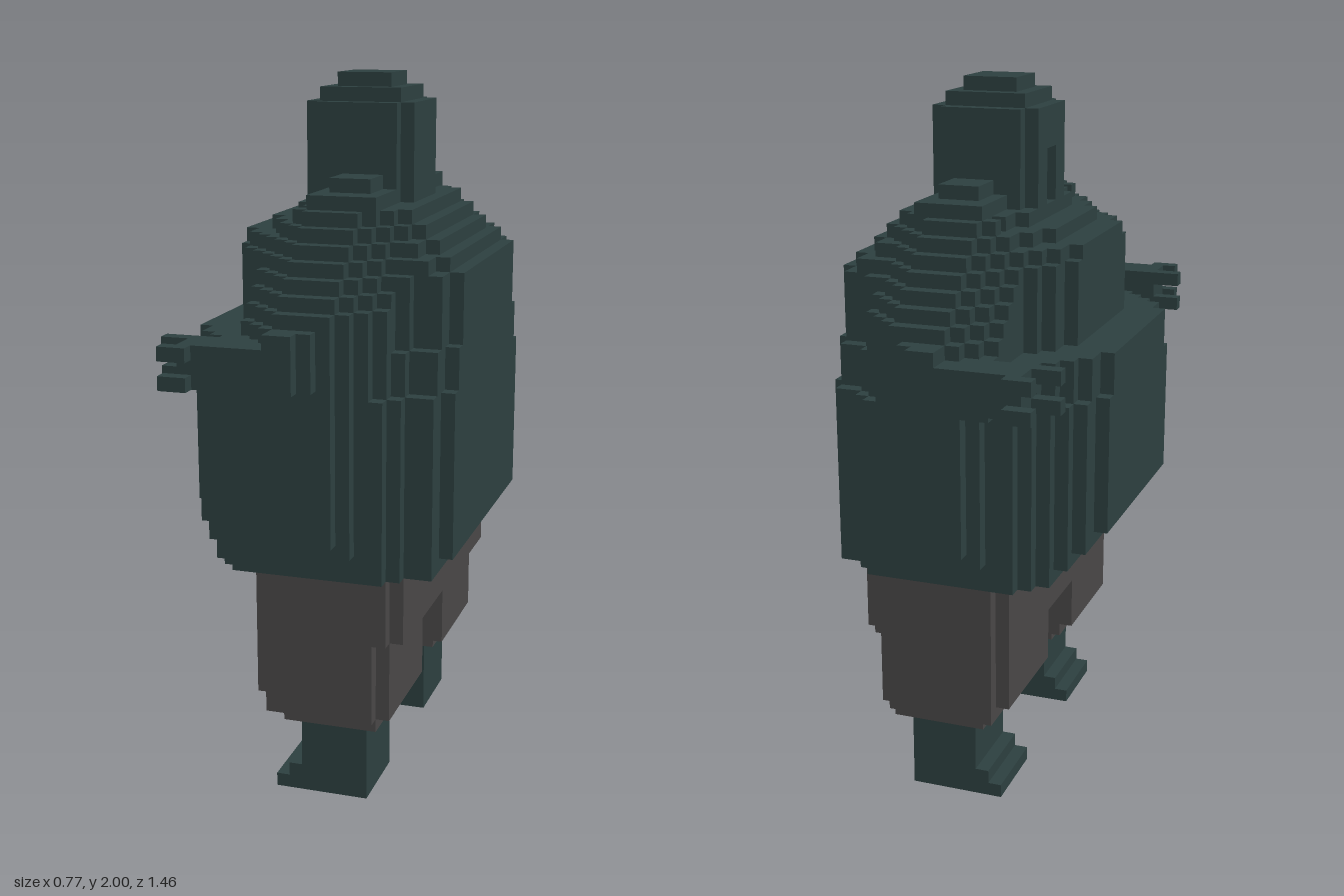
import * as THREE from 'three';

const V = 1 / 26; // size of one block

export function createModel() {
  const model = new THREE.Group();
  model.name = 'blockFigure';

  const material = (name, color) => {
    const m = new THREE.MeshStandardMaterial({ color });
    m.name = name;
    return m;
  };
  const teal = material('darkTeal', 0x2d4040);
  const grey = material('warmGrey', 0x4a4848);
  const brown = material('skinBrown', 0x6e564e);

  const part = (name) => {
    const g = new THREE.Group();
    g.name = name;
    model.add(g);
    return g;
  };

  // Box between two corners, counted in blocks
  const box = (group, name, mat, x0, x1, y0, y1, z0, z1) => {
    const geo = new THREE.BoxGeometry((x1 - x0) * V, (y1 - y0) * V, (z1 - z0) * V);
    geo.translate((x0 + x1) / 2 * V, (y0 + y1) / 2 * V, (z0 + z1) / 2 * V);
    const mesh = new THREE.Mesh(geo, mat);
    mesh.name = name;
    group.add(mesh);
  };

  // Same box on both sides
  const pair = (group, name, mat, x0, x1, y0, y1, z0, z1) => {
    box(group, name + 'Left', mat, x0, x1, y0, y1, z0, z1);
    box(group, name + 'Right', mat, x0, x1, y0, y1, -z1, -z0);
  };

  // Stepped oval slab; half-widths grow with distance from the oval's ends,
  // and the slab is the stretch of that oval from x0 to x1
  const faceSteps = [8, 10, 11, 12, 13, 14, 14, 15];
  const backSteps = [10, 12, 12, 13, 14, 14, 15];
  const slab = (group, name, x0, x1, y0, y1, zMax, inset, ovalFace = x0, ovalBack = x1) => {
    const half = (x) => Math.min(zMax,
      (faceSteps[x - ovalFace] ?? 16) - inset, (backSteps[ovalBack - 1 - x] ?? 16) - inset);
    const top = [];
    for (let x = x0; x < x1; x++) {
      if (x === x0 || half(x) !== half(x - 1)) {
        if (x > x0) top.push([x, half(x - 1)]);
        top.push([x, half(x)]);
      }
    }
    top.push([x1, half(x1 - 1)]);
    const outline = [...top, ...top.map(([x, z]) => [x, -z]).reverse()];
    const shape = new THREE.Shape(outline.map(([x, z]) => new THREE.Vector2(x * V, z * V)));
    const geo = new THREE.ExtrudeGeometry(shape, { depth: (y1 - y0) * V, bevelEnabled: false });
    geo.rotateX(-Math.PI / 2);
    geo.translate(0, y0 * V, 0);
    const mesh = new THREE.Mesh(geo, teal);
    mesh.name = name;
    group.add(mesh);
  };

  // Feet with stepped toes
  const feet = part('feet');
  pair(feet, 'ankle', teal, -1, 4, 0, 6.1, 5, 11);
  pair(feet, 'toeUpper', teal, -2, -1, 0, 2, 5, 11);
  pair(feet, 'toeTip', teal, -3, -2, 0, 1, 5, 11);

  // Trousers
  const trousers = part('trousers');
  pair(trousers, 'cuff', grey, -2, 5, 6, 7, 4, 12);
  pair(trousers, 'shin', grey, -3, 6, 7, 8, 3, 12);
  pair(trousers, 'leg', grey, -4, 6, 8, 12, 3, 12);
  pair(trousers, 'legSide', grey, -3, 5, 7, 13, 12, 13);
  box(trousers, 'crotch', grey, -4, 6, 12, 13, -12, 12);
  box(trousers, 'hips', grey, -4, 7, 13, 18.5, -12, 12);
  pair(trousers, 'hipSide', grey, -3, 6, 13, 18.5, 12, 13);

  // Belly and back: x0, x1, y0, y1, zMax, inset, then oval ends where clipped
  const torso = part('torso');
  [
    [-7, 9, 18, 19, 14, 0, -10, 10],
    [-8, 10, 19, 20, 14, 0, -10],
    [-9, 10, 20, 21, 15, 0, -10],
    [-10, 10, 21, 31, 16, 0],
    [-10, 10, 31, 34, 14, 1],
    [-7, 10, 34, 38, 13, 2],
    [-7, 10, 38, 39, 11, 2],
    [-7, 9, 39, 40, 10, 2],
    [-7, 8, 40, 41, 9, 3],
    [-5, 7, 41, 42, 8, 3],
    [-3, 6, 42, 43, 8, 3],
  ].forEach((s, i) => slab(torso, 'torsoLayer' + i, ...s));
  pair(torso, 'shoulder', teal, -1, 4, 43, 44, 3, 9);
  pair(torso, 'shoulderPad', teal, 0, 3, 44, 45, 3, 7);

  // Upper arms slope outwards, with a ridge that widens downwards
  const arms = part('arms');
  for (let z = 8; z < 18; z++) {
    const top = Math.max(36, 52 - z);
    const bottom = z < 16 ? 31 : 32;
    for (let s = 0; s < 4; s++) {
      const x1 = Math.min(3 + s, 18 - z);
      pair(arms, `upperArmStep${z}Tier${s}`, teal, -1 - s, x1, bottom, top - s, z, z + 1);
    }
  }
  // Forearms and fingers point to -x
  pair(arms, 'forearm', teal, -7, 1, 32, 35, 15, 18);
  for (const y of [32, 34]) {
    pair(arms, 'outerFinger' + y, teal, -8, -6, y, y + 1, 18, 19);
    pair(arms, 'innerFinger' + y, teal, -9, -7, y, y + 1, 15, 16);
  }

  // Hooded head with a recessed face opening on the -x side
  const head = part('head');
  box(head, 'hood', teal, -2, 4, 42, 50, -4, 4);
  box(head, 'hoodBack', teal, 4, 5, 42, 50, -3, 3);
  pair(head, 'hoodCheek', teal, -3, -2, 42, 50, 1, 3);
  box(head, 'hoodBrow', teal, -3, -2, 47, 50, -1, 1);
  box(head, 'hoodCrown', teal, -2, 4, 50, 51, -3, 3);
  box(head, 'hoodTop', teal, -1, 3, 51, 52, -2, 2);
  box(head, 'face', brown, -2.2, -2, 43, 46, -1, 1);

  return model;
}
